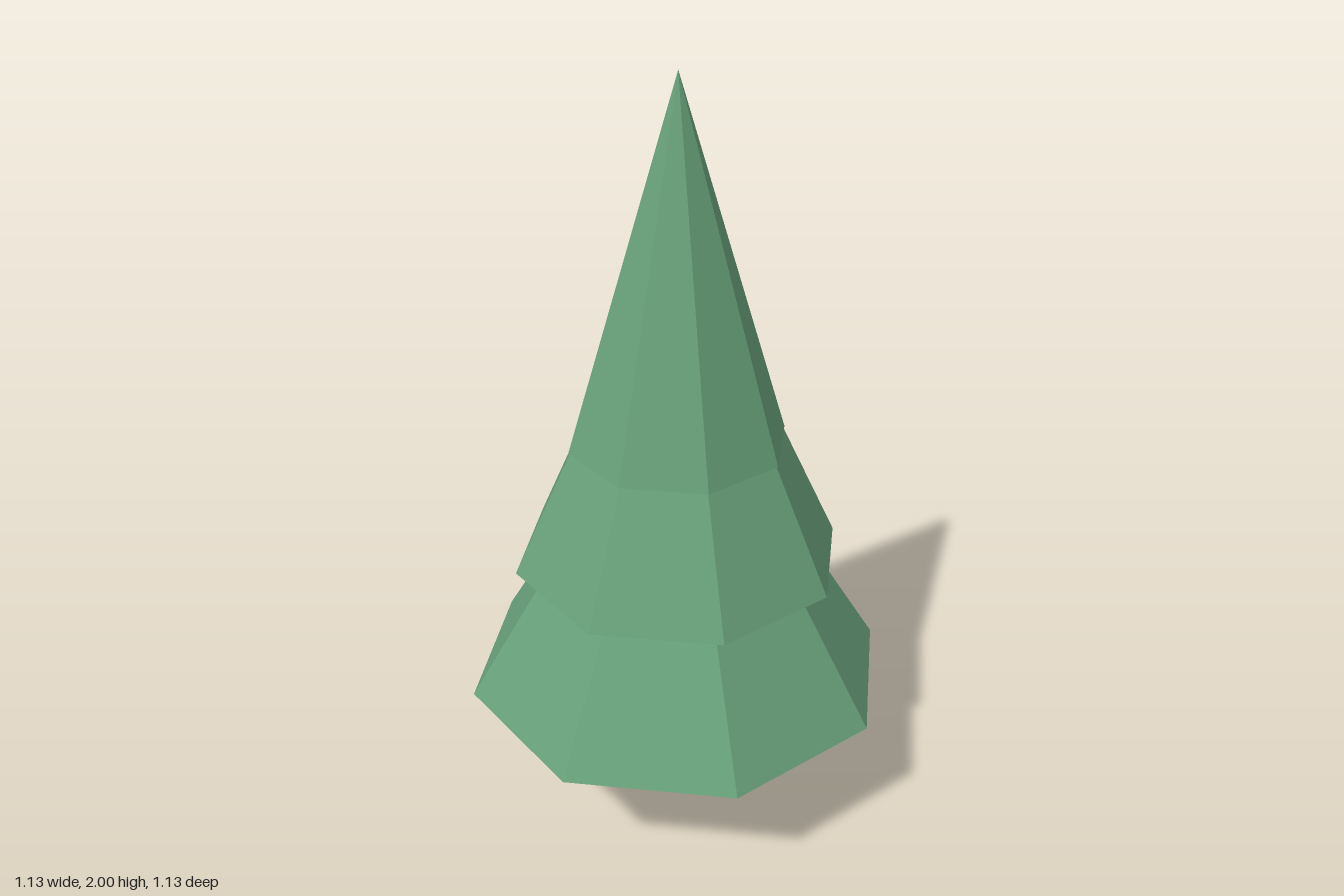
import * as THREE from 'three';

export function createModel() {
  const tree = new THREE.Group();
  tree.name = 'pineTree';

  const needles = new THREE.MeshStandardMaterial({ color: 0x68a07a, flatShading: true });
  needles.name = 'needle green';
  const bark = new THREE.MeshStandardMaterial({ color: 0x7d6049, flatShading: true });
  bark.name = 'bark brown';

  const SIDES = 8;
  const add = (name, geometry, material, y) => {
    const mesh = new THREE.Mesh(geometry, material);
    mesh.name = name;
    mesh.position.y = y;
    tree.add(mesh);
  };

  // Tapered trunk, reaching a little way into the lowest tier
  const trunkHeight = 0.467;
  add('trunk', new THREE.CylinderGeometry(0.083, 0.1, trunkHeight, SIDES), bark, trunkHeight / 2);

  // Three overlapping cones of equal height: [name, radius, base height]
  const tierHeight = 0.933;
  const tiers = [
    ['lowerBranches', 0.567, 0.367],
    ['middleBranches', 0.433, 0.733],
    ['upperBranches', 0.283, 1.067],
  ];
  for (const [name, radius, base] of tiers) {
    add(name, new THREE.ConeGeometry(radius, tierHeight, SIDES), needles, base + tierHeight / 2);
  }

  return tree;
}
